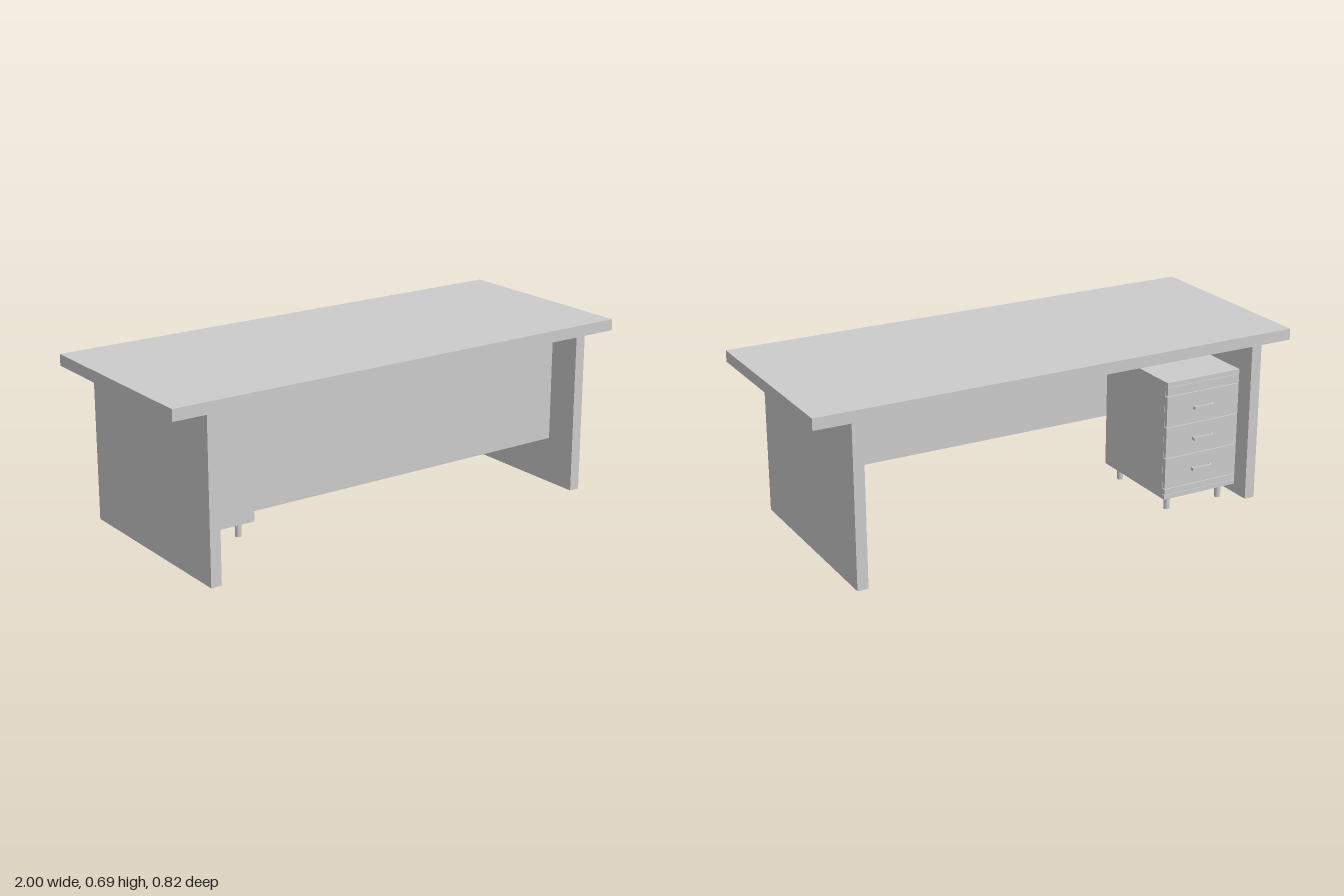
import * as THREE from 'three';

const material = new THREE.MeshStandardMaterial({ color: 0xcccccc });

// Box given by its lower and upper limits on each axis
function box(name, [x0, x1], [y0, y1], [z0, z1]) {
  const mesh = new THREE.Mesh(new THREE.BoxGeometry(x1 - x0, y1 - y0, z1 - z0), material);
  mesh.position.set((x0 + x1) / 2, (y0 + y1) / 2, (z0 + z1) / 2);
  mesh.name = name;
  return mesh;
}

function createPedestal() {
  const pedestal = new THREE.Group();
  pedestal.name = 'drawerPedestal';
  const x = [-0.803, -0.47], back = 0.07, front = -0.36, gap = 0.0015;
  const cx = (x[0] + x[1]) / 2, cz = (front + back) / 2;

  // Carcass with top and bottom boards reaching the drawer faces
  pedestal.add(box('pedestalCarcass', x, [0.08, 0.525], [front + 0.016, back]));
  pedestal.add(box('pedestalTop', x, [0.525, 0.543], [front, back]));
  pedestal.add(box('pedestalBase', x, [0.062, 0.08], [front, back]));

  // Shallow tray, three drawers and a plinth strip, from top to bottom
  const seams = [0.525, 0.487, 0.36, 0.233, 0.106, 0.08];
  for (let i = 0; i < seams.length - 1; i++) {
    const y = [seams[i + 1] + gap, seams[i] - gap];
    const isDrawer = i >= 1 && i <= 3;
    const name = isDrawer ? 'drawerFront' : i === 0 ? 'trayFront' : 'plinthStrip';
    pedestal.add(box(name, [x[0] + 0.001, x[1] - 0.001], y, [front, front + 0.016]));
    if (!isDrawer) continue;

    // Bar handle on two short posts
    const hy = (y[0] + y[1]) / 2;
    const handle = new THREE.Group();
    handle.name = 'drawerHandle';
    handle.add(box('handleBar', [cx - 0.045, cx + 0.045], [hy - 0.006, hy + 0.006], [front - 0.016, front - 0.008]));
    for (const s of [-1, 1]) {
      const px = cx + s * 0.04;
      handle.add(box('handlePost', [px - 0.005, px + 0.005], [hy - 0.006, hy + 0.006], [front - 0.008, front]));
    }
    pedestal.add(handle);
  }

  // Four round feet
  for (const sx of [-1, 1]) for (const sz of [-1, 1]) {
    const foot = new THREE.Mesh(new THREE.CylinderGeometry(0.0125, 0.0125, 0.062, 16), material);
    foot.position.set(cx + sx * 0.121, 0.031, cz + 0.003 + sz * 0.17);
    foot.name = 'pedestalFoot';
    pedestal.add(foot);
  }
  return pedestal;
}

export function createModel() {
  const desk = new THREE.Group();
  desk.name = 'desk';
  const depth = [-0.408, 0.408];
  desk.add(box('tabletop', [-1, 1], [0.645, 0.69], depth));
  desk.add(box('rightSidePanel', [-0.866, -0.823], [0.01, 0.645], depth));
  desk.add(box('leftSidePanel', [0.813, 0.856], [0.01, 0.645], depth));
  desk.add(box('modestyPanel', [-0.823, 0.813], [0.195, 0.645], [0.235, 0.272]));
  desk.add(createPedestal());
  return desk;
}
